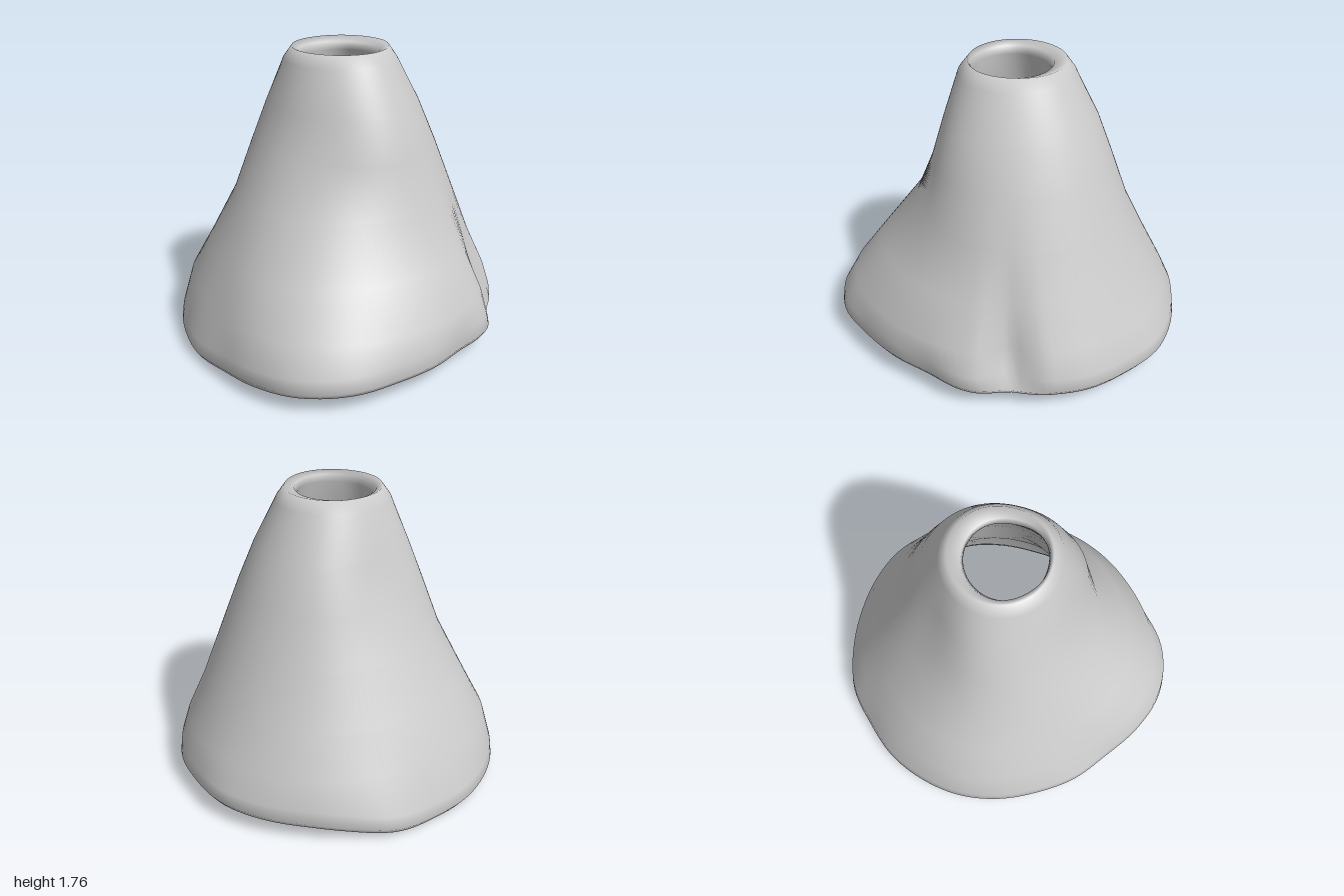
import * as THREE from 'three';

const SEGMENTS = 120;
const { clamp, smoothstep, degToRad } = THREE.MathUtils;

// Outer radius every 45 degrees (from +x towards +z) at each height, top to bottom
const LEVELS = [
  [1.70, [.335, .33, .355, .34, .335, .33, .325, .33]],
  [1.44, [.475, .46, .47, .42, .41, .44, .40, .465]],
  [1.20, [.575, .56, .56, .49, .505, .53, .48, .555]],
  [0.90, [.69, .67, .62, .615, .63, .64, .615, .66]],
  [0.60, [.81, .79, .80, .85, .78, .80, .78, .80]],
  [0.35, [.92, .90, .95, 1.03, .89, .94, .90, .92]],
];

// Hem outline every 15 degrees
const HEM = [.99, .985, .96, .95, .965, .94, .98, 1.03, 1.11, 1.125, 1.07, 1.01,
  1, .99, 1, 1.01, 1.01, 1.01, 1, 1.02, 1, .99, 1, 1.01];

// Smooth periodic lookup, u from 0 to 1
function around(values, u) {
  const n = values.length, f = u * n, i = Math.floor(f), t = f - i;
  const [a, b, c, d] = [-1, 0, 1, 2].map(k => values[(i + k + n) % n]);
  return b + 0.5 * t * (c - a + t * (2 * a - 5 * b + 4 * c - d + t * (3 * (b - c) + d - a)));
}

// Narrow crease at front left, strongest near the hem
function crease(u, y) {
  const offset = Math.abs(u * Math.PI * 2 - degToRad(43));
  return 0.1 * Math.max(0, 1 - offset / degToRad(12)) * clamp((0.72 - y) / 0.4, 0, 1);
}

// Lower edge: level at the back right, rising to the front and the left
const lift = (x, z) => 0.01 + Math.max(0.075 * smoothstep(x, 0, 0.7), 0.095 * Math.max(z, 0));
const levelTilt = y => (y < 0.5 ? 0.2 : 0);

// Each ring gives [radius, height, share of the lower edge's lift]
const rings = [
  // Top lip
  u => [around([.23, .23, .245, .24, .23, .24, .235, .23], u), 1.745, 0],
  u => [around([.285, .28, .29, .285, .285, .28, .275, .28], u), 1.77, 0],
  // Outer wall
  ...LEVELS.map(([y, radii]) => u => [around(radii, u) - crease(u, y), y, levelTilt(y)]),
  // Rounded hem
  u => [around(HEM, u) * 0.99 - crease(u, 0.13), 0.13, 1],
  u => [around(HEM, u) - crease(u, 0.6), 0.05, 1],
  u => [around(HEM, u) * 0.975 - crease(u, 0.6), 0.015, 1],
  u => [around(HEM, u) * 0.91, 0, 1],
  u => [around(HEM, u) * 0.83, 0.03, 1],
  u => [around(HEM, u) * 0.795, 0.12, 1],
  // Inner wall
  ...LEVELS.slice().reverse().map(([y, radii]) => u =>
    [around(radii, u) - 0.11 - 0.05 * (1.7 - y), y, levelTilt(y)]),
];

function shellGeometry() {
  const positions = [], index = [];
  rings.forEach((ring, i) => {
    const next = (i + 1) % rings.length;
    // The opening sits slightly off centre
    const shift = (i === 0 || i === rings.length - 1) ? 0.02 : 0;
    for (let j = 0; j < SEGMENTS; j++) {
      const u = j / SEGMENTS, angle = u * Math.PI * 2;
      const [r, y, tilt] = ring(u);
      const x = r * Math.cos(angle), z = r * Math.sin(angle);
      positions.push(x - shift, y + tilt * lift(x, z), z + shift);
      const k = (j + 1) % SEGMENTS;
      const a = i * SEGMENTS + j, b = i * SEGMENTS + k;
      const c = next * SEGMENTS + j, d = next * SEGMENTS + k;
      index.push(a, b, c, b, d, c);
    }
  });
  const geometry = new THREE.BufferGeometry();
  geometry.setAttribute('position', new THREE.Float32BufferAttribute(positions, 3));
  geometry.setIndex(index);
  geometry.computeVertexNormals();
  return geometry;
}

export function createModel() {
  const group = new THREE.Group();
  group.name = 'hollowCone';
  // Thick walled flared shell, open at both ends
  const shell = new THREE.Mesh(shellGeometry(), new THREE.MeshStandardMaterial({ color: 0xcccccc }));
  shell.name = 'flaredShell';
  group.add(shell);
  return group;
}
